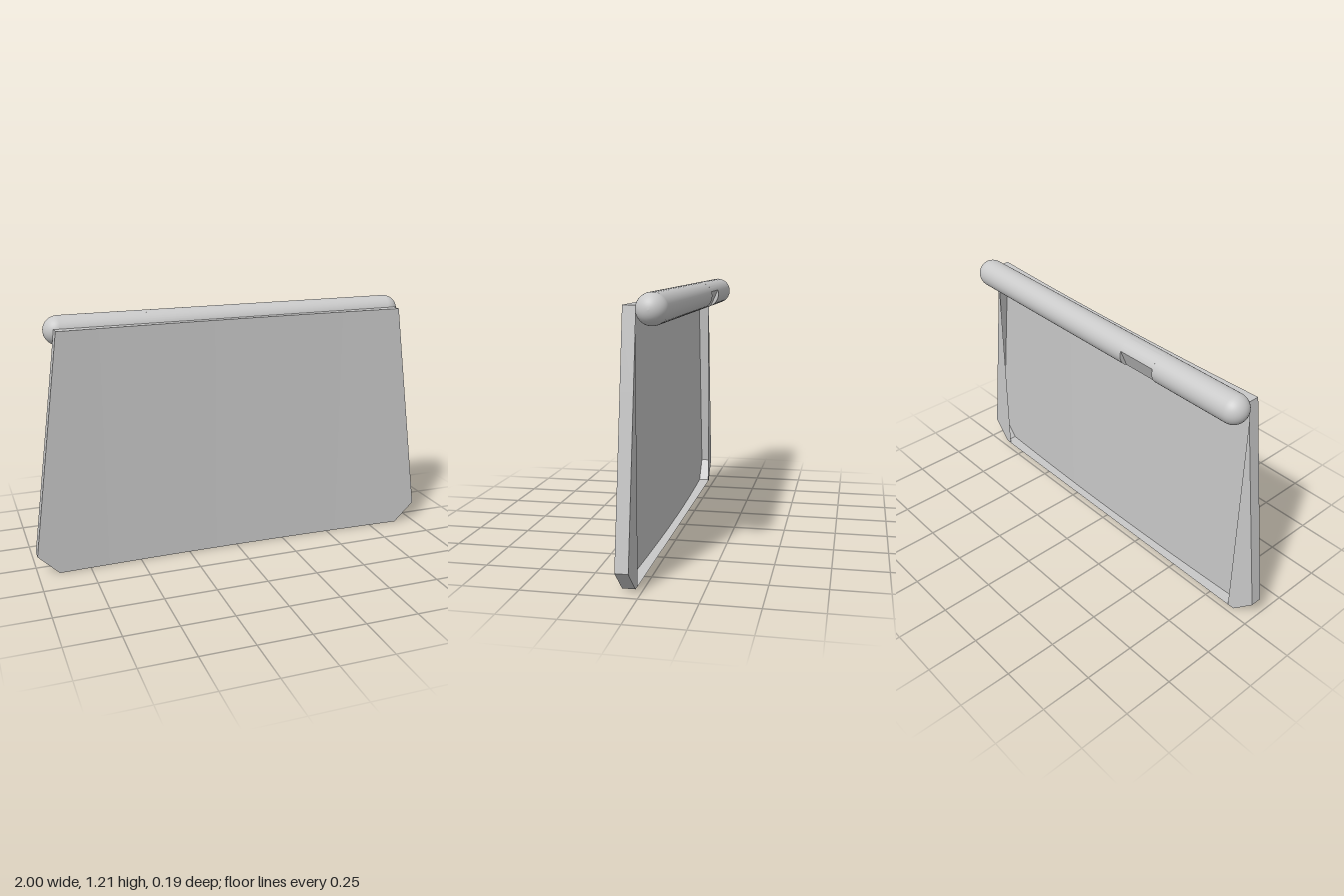
import * as THREE from 'three';
import { toCreasedNormals } from 'three/addons/utils/BufferGeometryUtils.js';

const HEIGHT = 1.16, TOP_X = 0.853, BOTTOM_X = 0.9, CORNER_Y = 0.1; // blade outline
const FLANGE_X = 0.865;                     // inner edge of the back flanges
const R = 0.068, BAR_Y = 1.143, BAR_Z = -0.027, BAR_END = 0.893;
const NOTCH = [-0.42, -0.22];               // x range of the flat cut in the bar

const rad = THREE.MathUtils.degToRad;
const { mapLinear } = THREE.MathUtils;

// Blade rules: hollow front face, back rim, upper and lower outline
const frontZ = (x) => 0.073 + 0.021 * x * x;
const backZ = (x) => 0.032 + 0.03 * Math.max(0, Math.abs(x) - 0.85);
const topY = (x) => (Math.abs(x) <= TOP_X ? HEIGHT : mapLinear(Math.abs(x), TOP_X, 1, HEIGHT, CORNER_Y));
const bottomY = (x) => (Math.abs(x) <= BOTTOM_X ? 0 : mapLinear(Math.abs(x), BOTTOM_X, 1, 0, CORNER_Y));

// Strip of quads along x between two edge curves, each giving [y, z] for x
function strip(xs, edgeA, edgeB) {
  const pos = [];
  for (let i = 0; i < xs.length - 1; i++) {
    const [x0, x1] = [xs[i], xs[i + 1]];
    const a = [x0, ...edgeA(x0)], b = [x1, ...edgeA(x1)];
    const c = [x1, ...edgeB(x1)], d = [x0, ...edgeB(x0)];
    pos.push(...a, ...b, ...c, ...a, ...c, ...d);
  }
  const geo = new THREE.BufferGeometry();
  geo.setAttribute('position', new THREE.Float32BufferAttribute(pos, 3));
  geo.computeVertexNormals();
  return geo;
}

export function createModel() {
  const grey = new THREE.MeshStandardMaterial({ color: 0xc9c9c9, side: THREE.DoubleSide });
  grey.name = 'lightGrey';
  const model = new THREE.Group();
  model.name = 'blade';
  const add = (name, geo, parent = model) => {
    const mesh = new THREE.Mesh(geo, grey);
    mesh.name = name;
    parent.add(mesh);
  };

  // Columns of the blade from right to left, with the outline's corners among them
  const xs = [-1, -BOTTOM_X, -FLANGE_X, -TOP_X];
  for (let i = -7; i <= 7; i++) xs.push(i * 0.11);
  xs.push(TOP_X, FLANGE_X, BOTTOM_X, 1);

  // Open-backed shell: front sheet with a rim all round
  const frontTop = (x) => [topY(x), frontZ(x)], backTop = (x) => [topY(x), backZ(x)];
  const frontBottom = (x) => [bottomY(x), frontZ(x)], backBottom = (x) => [bottomY(x), backZ(x)];
  add('frontSheet', strip(xs, frontBottom, frontTop));
  add('upperRim', strip(xs, frontTop, backTop));
  add('lowerRim', strip(xs, backBottom, frontBottom));

  // Back flanges beside the opening
  add('rightFlange', strip(xs.filter((x) => x <= -FLANGE_X), backTop, backBottom));
  add('leftFlange', strip(xs.filter((x) => x >= FLANGE_X), backTop, backBottom));

  // Round-ended top bar, in two rods with a flat-cut piece between them
  const bar = new THREE.Group();
  bar.name = 'topBar';
  bar.position.set(0, BAR_Y, BAR_Z);
  model.add(bar);

  for (const [side, start, name] of [[1, NOTCH[1], 'leftRod'], [-1, NOTCH[0], 'rightRod']]) {
    const length = BAR_END - side * start;
    const profile = [new THREE.Vector2(R, 0)];
    for (let i = 0; i <= 10; i++) {
      const a = (i / 10) * Math.PI / 2;
      profile.push(new THREE.Vector2(i === 10 ? 0 : R * Math.cos(a), length - R + R * Math.sin(a)));
    }
    const rod = new THREE.Group();
    rod.name = name;
    rod.position.x = start;
    rod.rotation.z = -side * Math.PI / 2;
    add(name + 'Body', new THREE.LatheGeometry(profile, 40), rod);
    add(name + 'EndWall', new THREE.CircleGeometry(R, 40).rotateX(Math.PI / 2), rod);
    bar.add(rod);
  }

  // Flat cut facing back and slightly down
  const cut = new THREE.Shape();
  cut.absarc(0, 0, R, rad(247), rad(161 + 360), false);
  cut.closePath();
  const piece = new THREE.ExtrudeGeometry(cut, { depth: NOTCH[1] - NOTCH[0], curveSegments: 32, bevelEnabled: false });
  piece.rotateY(-Math.PI / 2).translate(NOTCH[1], 0, 0);
  add('notchedPiece', toCreasedNormals(piece, 0.5), bar);

  return model;
}
